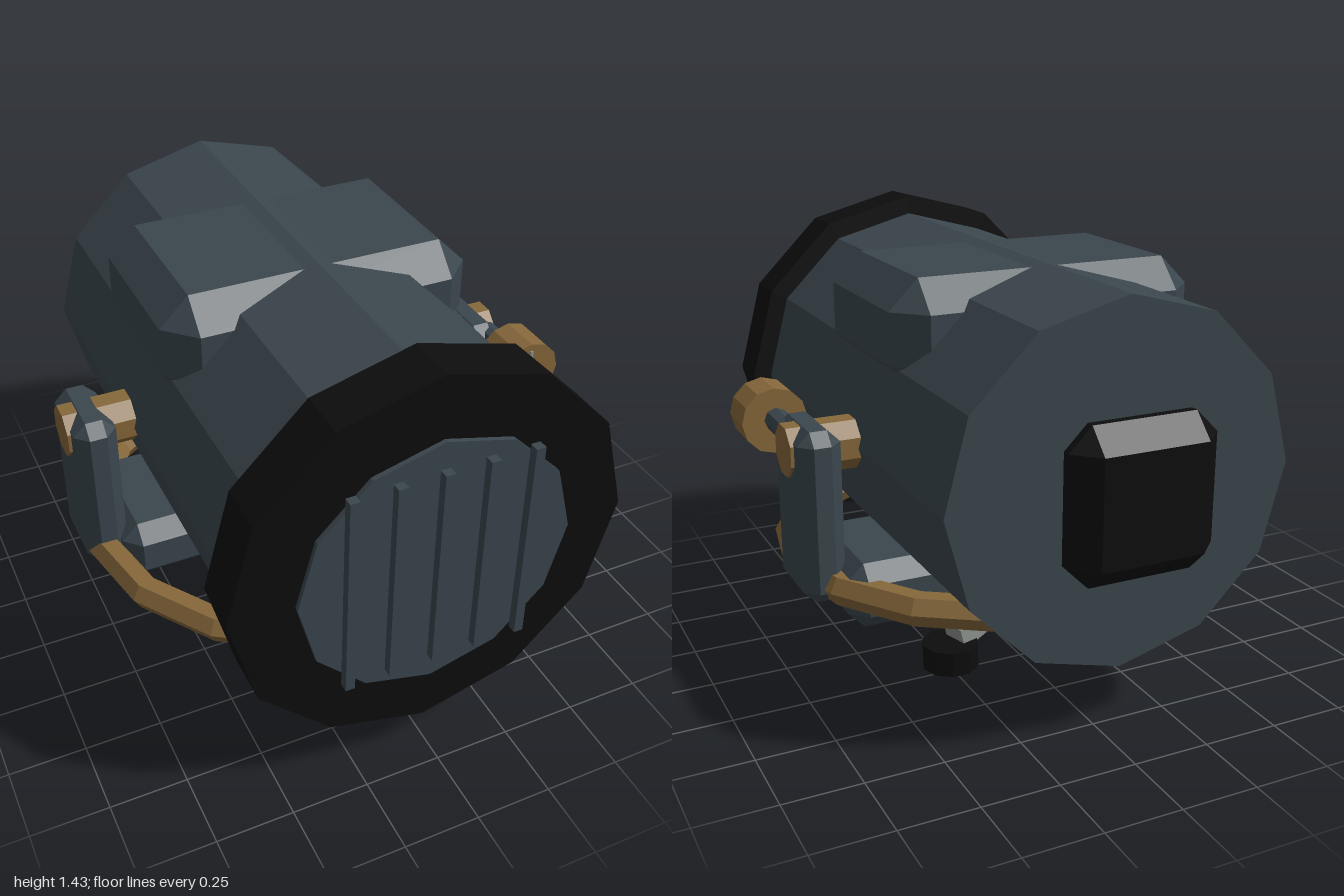
import * as THREE from 'three';
import { ConvexGeometry } from 'three/addons/geometries/ConvexGeometry.js';

const CX = -0.035; // barrel axis
const CY = 0.8;

export function createModel() {
  const model = new THREE.Group();
  model.name = 'spotlight';

  const paint = (name, color) => {
    const m = new THREE.MeshStandardMaterial({ color, flatShading: true });
    m.name = name;
    return m;
  };
  const slate = paint('slate', 0x3a464d);
  const black = paint('black', 0x0d0d0d);
  const brass = paint('brass', 0x86673a);
  const grey = paint('grey', 0x8c918c);

  const add = (name, geometry, material, x = 0, y = 0, z = 0, parent = model) => {
    const mesh = new THREE.Mesh(geometry, material);
    mesh.name = name;
    mesh.position.set(x, y, z);
    parent.add(mesh);
    return mesh;
  };

  // Box with every edge and corner cut off by c
  const chamferBox = (w, h, d, c) => {
    const pts = [];
    for (const i of [-1, 1]) for (const j of [-1, 1]) for (const k of [-1, 1]) {
      const x = w / 2, y = h / 2, z = d / 2;
      pts.push(new THREE.Vector3(i * x, j * (y - c), k * (z - c)));
      pts.push(new THREE.Vector3(i * (x - c), j * y, k * (z - c)));
      pts.push(new THREE.Vector3(i * (x - c), j * (y - c), k * z));
    }
    return new ConvexGeometry(pts);
  };

  // Cylinder lying along z
  const drum = (r, length, sides) =>
    new THREE.CylinderGeometry(r, r, length, sides).rotateX(Math.PI / 2);

  // Lamp body
  add('barrel', drum(0.567, 1.63, 12), slate, CX, CY, -0.02);
  add('frontRim', drum(0.632, 0.165, 12), black, CX, CY, 0.8625);
  add('lens', drum(0.435, 0.015, 12), slate, CX, CY, 0.963);
  for (let i = -2; i <= 2; i++) {
    add('grilleBar', new THREE.BoxGeometry(0.03, 0.69, 0.03), slate, CX + i * 0.1415, CY, 0.985);
  }
  add('topHousing', chamferBox(1.03, 0.355, 0.68, 0.095), slate, CX, 1.1775, -0.08);
  add('rearCap', chamferBox(0.48, 0.48, 0.17, 0.072), black, CX, CY, -0.915);

  // Yoke: cross bar, two arms and their pivots
  add('yokeBar', chamferBox(1.33, 0.215, 0.475, 0.055), slate, CX, 0.3625, -0.12);
  for (const s of [-1, 1]) {
    add('yokeArm', chamferBox(0.14, 0.565, 0.3, 0.042), slate, CX + s * 0.705, 0.603, -0.095);
    const pivot = new THREE.CylinderGeometry(0.086, 0.086, 0.228, 8);
    pivot.rotateY(Math.PI / 8).rotateZ(Math.PI / 2);
    add('pivot', pivot, brass, CX + s * 0.672, 0.803, -0.095);
  }

  // Hoop handle around the base
  const hoop = new THREE.TorusGeometry(0.717, 0.054, 6, 16);
  hoop.rotateX(Math.PI / 2);
  add('hoopHandle', hoop, brass, CX, 0.378, 0.015);

  // Adjusting knob on the left arm
  add('knobShaft', drum(0.04, 0.16, 8), slate, 0.705, 0.835, 0.07);
  add('adjustKnob', drum(0.11, 0.15, 12), brass, 0.709, 0.83, 0.2);
  add('knobMark', new THREE.BoxGeometry(0.012, 0.05, 0.009), grey, 0.709, 0.89, 0.277);

  // Tripod: bent legs and round feet
  const profile = [[0, 0.26], [0.05, 0.235], [0.12, 0.2], [0.28, 0.135], [0.26, 0.06], [0.08, 0.12], [0, 0.15]];
  const legShape = new THREE.Shape(profile.map(([x, y]) => new THREE.Vector2(x, y)));
  const legGeometry = new THREE.ExtrudeGeometry(legShape, { depth: 0.09, bevelEnabled: false });
  legGeometry.translate(0, 0, -0.045);
  const footGeometry = new THREE.CylinderGeometry(0.096, 0.096, 0.085, 10);
  for (let i = 0; i < 3; i++) {
    const leg = new THREE.Group();
    leg.name = 'tripodLeg';
    leg.position.set(CX, 0, -0.12);
    leg.rotation.y = THREE.MathUtils.degToRad(17 + i * 120);
    add('strut', legGeometry, grey, 0, 0, 0, leg);
    add('foot', footGeometry, black, 0.288, 0.0425, 0, leg);
    model.add(leg);
  }

  return model;
}
